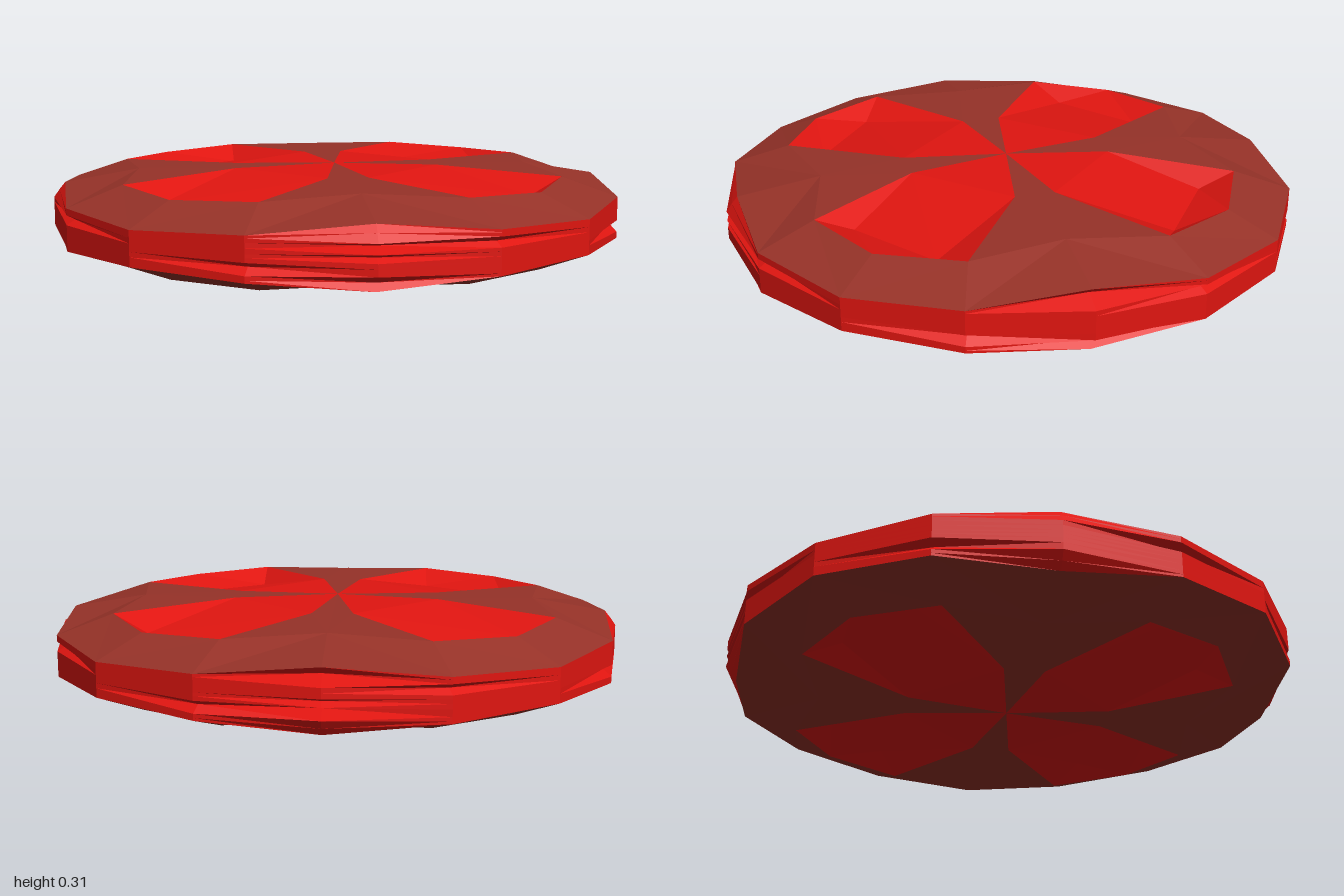
import * as THREE from 'three';

const MID = 0.157; // height of the mirror plane through the disc
const SIDES = 16;
const red = new THREE.MeshStandardMaterial({ color: 0xe01510, flatShading: true });
const brown = new THREE.MeshStandardMaterial({ color: 0x963228, flatShading: true });

function makeMesh(name, positions, material) {
  const geometry = new THREE.BufferGeometry();
  geometry.setAttribute('position', new THREE.Float32BufferAttribute(positions, 3));
  geometry.computeVertexNormals();
  const mesh = new THREE.Mesh(geometry, material);
  mesh.name = name;
  return mesh;
}

// Outer radius and crown-edge height repeat every quarter turn
const wallRadius = (i) => [1, 1.01, 1.025, 1.01][i % 4];
const edgeRadius = (i) => (i % 4 === 0 ? 0.96 : wallRadius(i));
const edgeHeight = (i) => [0.103, 0.072, 0.058, 0.072][i % 4];
function onRing(i, r, h) {
  const a = (i / SIDES) * Math.PI * 2;
  return [r * Math.cos(a), h, r * Math.sin(a)];
}

// Key points of one quarter of a face: [x, height above mid plane, z]
const P = {
  C: [0, 0.155, 0],
  A: [0.07, 0.151, 0.36], F: [0.36, 0.151, 0.07],
  B: [0.33, 0.138, 0.74], D: [0.6, 0.128, 0.6], E: [0.75, 0.138, 0.33],
  G: [0.33, 0.085, 0.61], H: [0.62, 0.085, 0.4],
  X: [0.7, 0.147, 0], Z: [0, 0.147, 0.67],
};
for (let i = 0; i <= 4; i++) P[i] = onRing(i, edgeRadius(i), edgeHeight(i));

const crownTriangles = 'CFX FEX XE1 X10 E21 ED2 DB2 B32 BZ3 Z43 ZBA CZA';
const pocketTriangles = 'CFA FHA HGA FEH EDH DGH DBG BAG';

// Mirrors the quarter-face triangles into four quarters, facing outward along y
function faceTriangles(list, up, quarters) {
  const out = [];
  for (const [sx, sz] of quarters) {
    for (const key of list.split(' ')) {
      const [a, b, c] = [...key].map((k) => {
        const [x, h, z] = P[k];
        return [x * sx, MID + h * up, z * sz];
      });
      const ny = (b[2] - a[2]) * (c[0] - a[0]) - (b[0] - a[0]) * (c[2] - a[2]);
      out.push(...a, ...(ny * up > 0 ? [...b, ...c] : [...c, ...b]));
    }
  }
  return out;
}

// Rim cross-section at corner i, from top to bottom, with irregular grooves
function rimSection(i) {
  const r = wallRadius(i);
  const e = edgeHeight(i);
  const middle = (r + edgeRadius(i)) / 2;
  const upperGroove = i === 0 || i === 12 ? 0.93 : middle;
  const lowerGroove = i === 4 || i === 0 ? 0.94 : middle;
  const slit = (k) => {
    if (i % 8 === 0) return r;
    if ((i === 4 && k === 0) || (i === 12 && k === 2)) return r - 0.065;
    return (i * 7 + k * 5) % 4 === 1 ? r - 0.03 : r;
  };
  return [
    [edgeRadius(i), e], [upperGroove, (e + 0.05) / 2 + 0.002], [r, 0.05],
    [slit(0), 0.033], [r, 0.016], [slit(1), 0.004], [r, -0.01],
    [slit(2), -0.027], [r, -0.05],
    [lowerGroove, -(e + 0.05) / 2 - 0.002], [edgeRadius(i), -e],
  ].map(([rad, h]) => onRing(i, rad, MID + h));
}

function rimTriangles() {
  const out = [];
  for (let i = 0; i < SIDES; i++) {
    const s = rimSection(i);
    const t = rimSection((i + 1) % SIDES);
    for (let k = 0; k < s.length - 1; k++) {
      out.push(...s[k], ...t[k], ...s[k + 1], ...t[k], ...t[k + 1], ...s[k + 1]);
    }
  }
  return out;
}

export function createModel() {
  const model = new THREE.Group();
  model.name = 'disc';
  const quarters = [[1, 1], [-1, 1], [-1, -1], [1, -1]];

  // Upper and lower faces, each with four sunken pockets
  for (const [side, up] of [['upper', 1], ['lower', -1]]) {
    model.add(makeMesh(side + 'Crown', faceTriangles(crownTriangles, up, quarters), brown));
    quarters.forEach((q, n) => {
      model.add(makeMesh(side + 'Pocket' + (n + 1), faceTriangles(pocketTriangles, up, [q]), red));
    });
  }

  // Grooved outer rim
  model.add(makeMesh('rim', rimTriangles(), red));
  return model;
}
